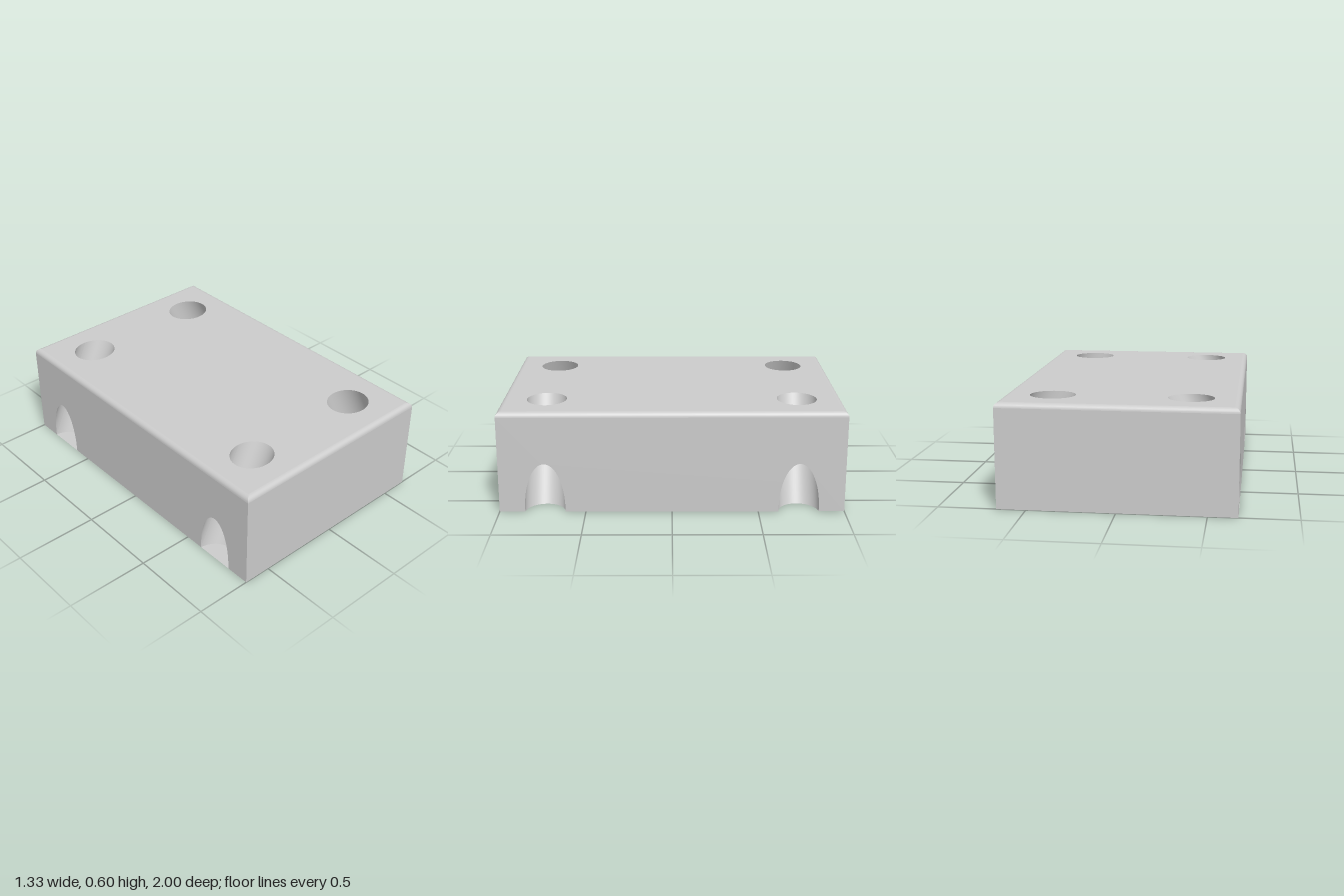
import * as THREE from 'three';

const W = 0.667, L = 1, H = 0.6, R = 0.03;        // half width, half length, height, edge radius
const BX = 0.39, BZ = 0.735;                      // bore centres on the top face
const RX = 0.13, RZ = 0.117, SLOPE = 0.477;       // bore ellipse and outward lean
const solid = new THREE.MeshStandardMaterial({ color: 0xcccccc });
const open = new THREE.MeshStandardMaterial({ color: 0xcccccc, side: THREE.DoubleSide });

// Angle at which the bore changes from leaving through the side to leaving through the base
const SPLIT = Math.acos((W - BX - H * SLOPE) / RX);
const range = (a, b, n) => Array.from({ length: n + 1 }, (_, i) => a + (b - a) * i / n);
const sideAngles = range(-SPLIT, SPLIT, 32);
const baseAngles = range(SPLIT, 2 * Math.PI - SPLIT, 32);
const angles = [...sideAngles, ...baseAngles.slice(1)];

// Where the bore wall at angle a starts and ends (for the +x side, z about the bore centre)
const boreTop = a => new THREE.Vector3(BX + RX * Math.cos(a), H, RZ * Math.sin(a));
function boreEnd(a) {
  const p = boreTop(a);
  const drop = Math.min(H, (W - p.x) / SLOPE);
  return new THREE.Vector3(p.x + drop * SLOPE, H - drop, p.z);
}

// Surface through rows of points
function loft(rows) {
  const n = rows[0].length, index = [];
  for (let i = 0; i < rows.length - 1; i++) {
    for (let j = 0; j < n - 1; j++) {
      const a = i * n + j, b = a + 1, c = a + n, d = c + 1;
      index.push(a, b, d, a, d, c);
    }
  }
  const g = new THREE.BufferGeometry().setFromPoints(rows.flat());
  g.setIndex(index);
  g.computeVertexNormals();
  return g;
}

const flat = points => new THREE.Shape(points.map(([x, y]) => new THREE.Vector2(x, y)));

export function createModel() {
  const model = new THREE.Group();
  const add = (name, geometry, material = solid) => {
    const mesh = new THREE.Mesh(geometry, material);
    mesh.name = name;
    model.add(mesh);
    return mesh;
  };

  // Top face with four oval openings
  const w = W - R, l = L - R;
  const top = flat([[-w, -l], [w, -l], [w, l], [-w, l]]);
  for (const s of [-1, 1]) for (const z of [-BZ, BZ]) {
    const hole = angles.slice(0, -1).map(boreTop).map(p => new THREE.Vector2(s * p.x, z + p.z));
    top.holes.push(new THREE.Path(hole));
  }
  add('topFace', new THREE.ShapeGeometry(top).rotateX(-Math.PI / 2).translate(0, H, 0));

  // Base, notched along the +x edge only
  const notch = z => baseAngles.map(boreEnd).map(p => [p.x, z + p.z]).reverse();
  const base = flat([[-W, -L], [W, -L], ...notch(-BZ), ...notch(BZ), [W, L], [-W, L]]);
  add('base', new THREE.ShapeGeometry(base).rotateX(Math.PI / 2), open);

  // Long side walls with arched outlets
  const arch = z => sideAngles.map(boreEnd).map(p => [z + p.z, p.y]);
  const wall = flat([[-L, 0], ...arch(-BZ), ...arch(BZ), [L, 0], [L, H - R], [-L, H - R]]);
  for (const s of [-1, 1]) {
    add(s > 0 ? 'leftWall' : 'rightWall',
      new THREE.ShapeGeometry(wall).translate(0, 0, W).rotateY(s * Math.PI / 2));
  }

  // End walls
  for (const turn of [0, Math.PI]) {
    add(turn ? 'backWall' : 'frontWall', new THREE.PlaneGeometry(2 * W, H - R)
      .translate(0, (H - R) / 2, L).rotateY(turn));
  }

  // Rounded top edges, mitred at the corners
  for (let i = 0; i < 4; i++) {
    const [half, out] = i % 2 ? [L, W] : [W, L];
    const rows = range(0, Math.PI / 2, 6).map(t => {
      const inset = R * (1 - Math.cos(t)), y = H - R + R * Math.sin(t);
      return [-1, 1].map(s => new THREE.Vector3(s * (half - inset), y, out - inset));
    });
    add('roundedEdge', loft(rows).rotateY(i * Math.PI / 2));
  }

  // Slanted bores
  for (const s of [-1, 1]) for (const z of [-BZ, BZ]) {
    const rows = [boreTop, boreEnd].map(f => angles.map(a => {
      const p = f(a);
      return new THREE.Vector3(s * p.x, p.y, z + p.z);
    }));
    if (s < 0) rows.reverse();
    add('slantedBore', loft(rows), open);
  }
  return model;
}
